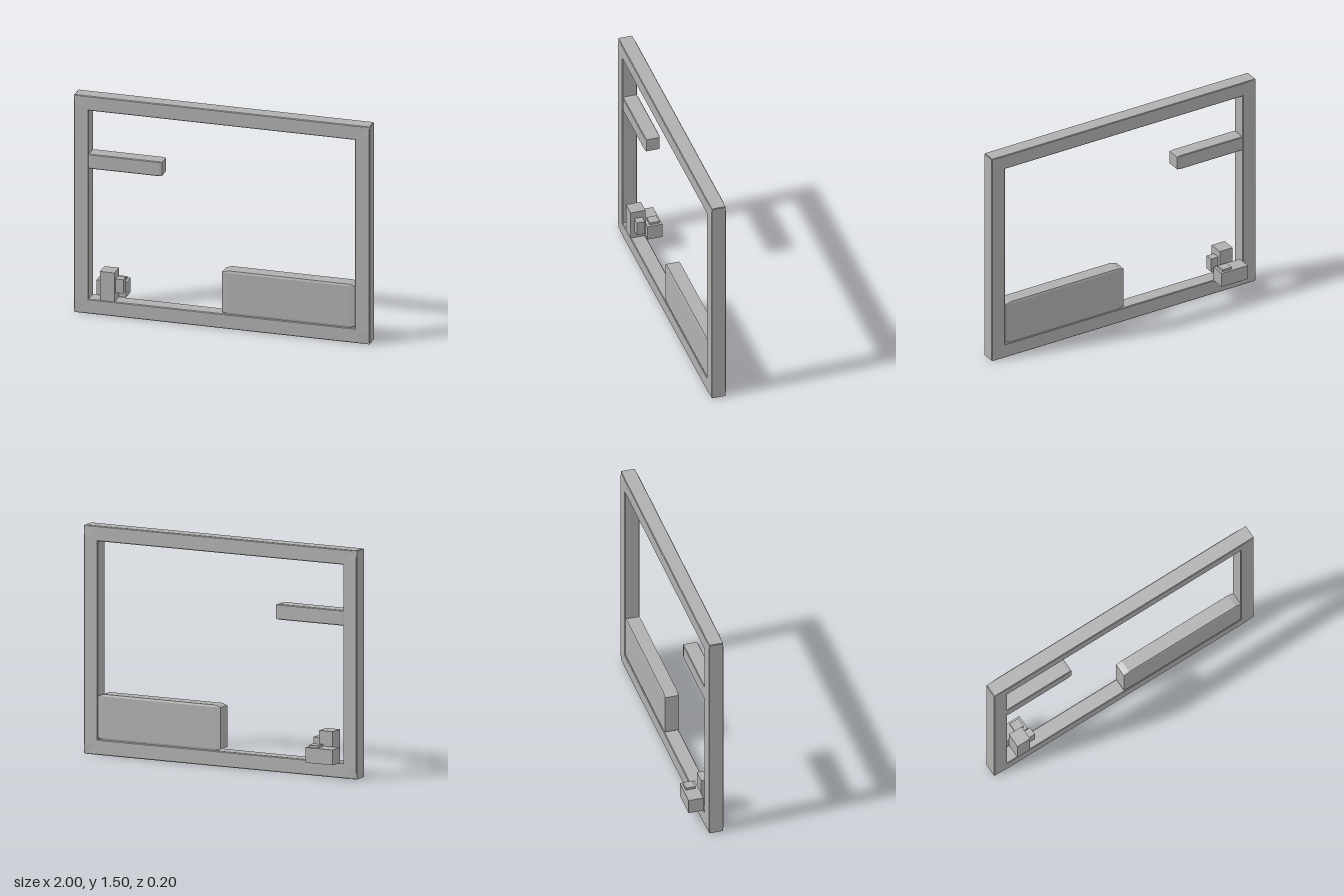
import * as THREE from 'three';
import { ConvexGeometry } from 'three/addons/geometries/ConvexGeometry.js';

const grey = new THREE.MeshStandardMaterial({ color: 0xb0b0b0 });
grey.name = 'plain grey';

// Box between two corners, with a bevel proportional to each side
function bevelledBox(min, max, bevel = 0.045) {
  const centre = min.map((v, i) => (v + max[i]) / 2);
  const half = min.map((v, i) => (max[i] - v) / 2);
  const points = [];
  for (const sx of [-1, 1]) for (const sy of [-1, 1]) for (const sz of [-1, 1]) {
    // each corner becomes three points, one lying on each outer face
    for (let face = 0; face < 3; face++) {
      const p = [sx, sy, sz].map((s, i) =>
        centre[i] + s * half[i] * (i === face ? 1 : 1 - 2 * bevel));
      points.push(new THREE.Vector3(...p));
    }
  }
  return new ConvexGeometry(points);
}

// Sharp box between two corners
function sharpBox(min, max) {
  const size = max.map((v, i) => v - min[i]);
  return new THREE.BoxGeometry(...size)
    .translate(...min.map((v, i) => v + size[i] / 2));
}

export function createModel() {
  const model = new THREE.Group();
  model.name = 'framedPlatforms';
  const add = (name, geometry) => {
    const mesh = new THREE.Mesh(geometry, grey);
    mesh.name = name;
    model.add(mesh);
  };

  // Outer frame
  add('floorBar', bevelledBox([-1, 0, 0], [1, 0.1, 0.1]));
  add('ceilingBar', bevelledBox([-1, 1.4, 0], [1, 1.5, 0.1]));
  add('rightWall', bevelledBox([-1, 0, 0], [-0.9, 1.5, 0.1]));
  add('leftWall', bevelledBox([0.9, 0, 0], [1, 1.5, 0.1]));

  // Platforms inside the frame
  add('shelf', bevelledBox([-0.91, 1, 0], [-0.405, 1.1, 0.1]));
  add('lowPlatform', bevelledBox([0, 0.1, 0], [0.9, 0.4, 0.1]));

  // Small cluster of blocks in the corner
  add('towerBlock', sharpBox([-0.823, 0.1, 0], [-0.725, 0.3, 0.1]));
  add('sideBlock', sharpBox([-0.725, 0.155, 0.02], [-0.672, 0.25, 0.075]));
  add('rearBlock', sharpBox([-0.877, 0.1, -0.1], [-0.678, 0.2, 0]));
  add('rearCap', sharpBox([-0.762, 0.2, -0.085], [-0.695, 0.215, -0.02]));

  return model;
}
